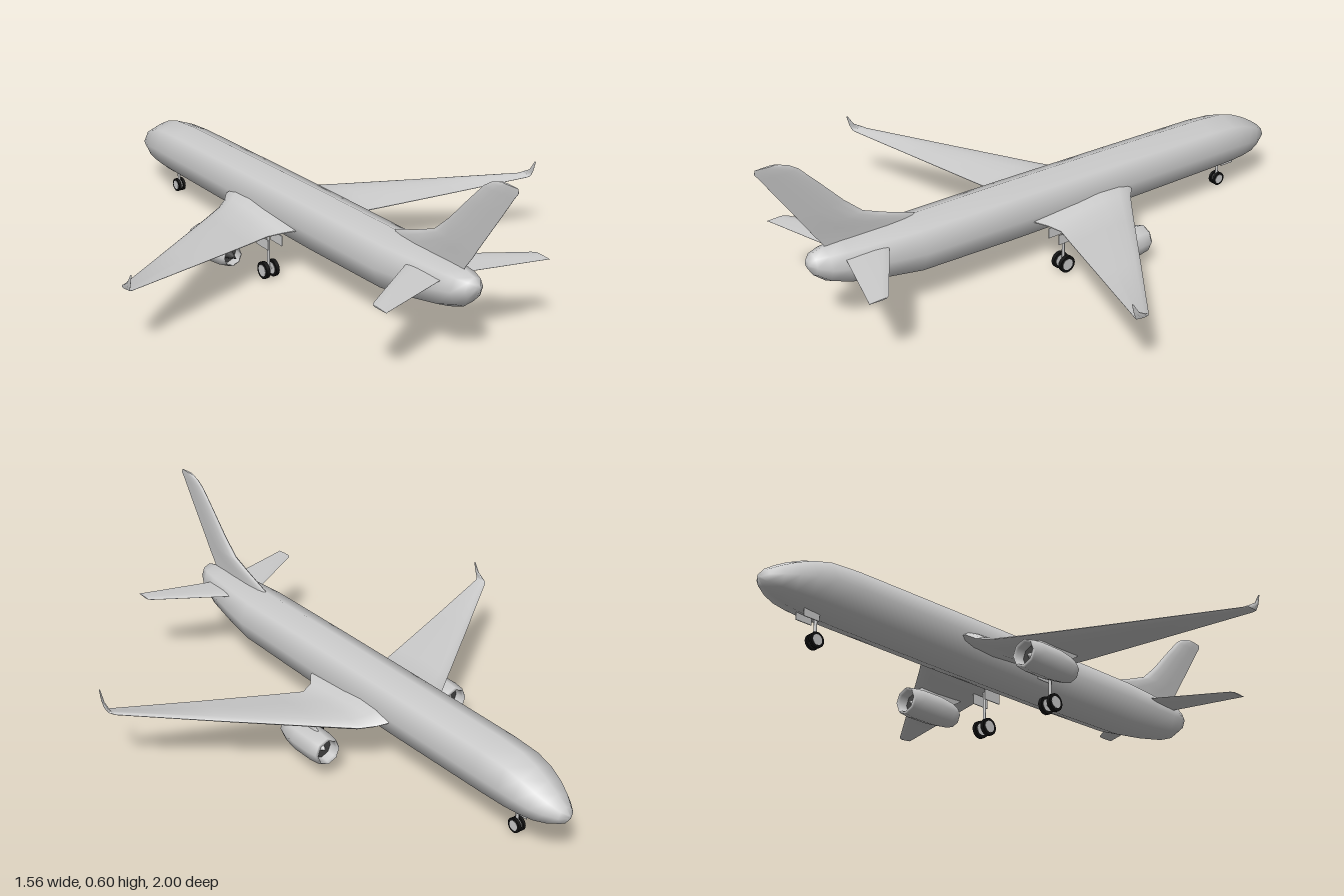
import * as THREE from 'three';
import { toCreasedNormals } from 'three/addons/utils/BufferGeometryUtils.js';

const grey = new THREE.MeshStandardMaterial({ color: 0xcccccc });
const greyThin = new THREE.MeshStandardMaterial({ color: 0xcccccc, side: THREE.DoubleSide });
const dark = new THREE.MeshStandardMaterial({ color: 0x444444 });
const black = new THREE.MeshStandardMaterial({ color: 0x111111 });

function add(parent, name, geometry, material = grey, x = 0, y = 0, z = 0) {
  const mesh = new THREE.Mesh(geometry, material);
  mesh.name = name;
  mesh.position.set(x, y, z);
  parent.add(mesh);
  return mesh;
}

// Skin a list of equal-length rings and cap both ends, faces outwards
function loft(rings, crease = 0.95) {
  const n = rings[0].length;
  const points = rings.flat();
  const tris = [];
  for (let i = 0; i < rings.length - 1; i++) {
    for (let j = 0; j < n; j++) {
      const a = i * n + j, b = i * n + (j + 1) % n;
      tris.push([a, b, b + n], [a, b + n, a + n]);
    }
  }
  [0, rings.length - 1].forEach((r) => {
    const mid = new THREE.Vector3();
    rings[r].forEach((p) => mid.addScaledVector(p, 1 / n));
    points.push(mid);
    const c = points.length - 1;
    for (let j = 0; j < n; j++) {
      const a = r * n + j, b = r * n + (j + 1) % n;
      tris.push(r === 0 ? [c, b, a] : [c, a, b]);
    }
  });
  // A negative volume means the rings run the other way round
  const cross = new THREE.Vector3();
  let volume = 0;
  for (const [a, b, c] of tris) volume += points[a].dot(cross.crossVectors(points[b], points[c]));
  if (volume < 0) tris.forEach((t) => t.reverse());
  const geometry = new THREE.BufferGeometry().setFromPoints(points);
  geometry.setIndex(tris.flat());
  return toCreasedNormals(geometry, crease);
}

// Airfoil section from leading edge to trailing edge; half is the half-thickness vector
const FOIL = [[0, 0], [0.04, 0.5], [0.14, 0.85], [0.35, 1], [0.65, 0.65], [1, 0.08],
  [1, -0.08], [0.65, -0.65], [0.35, -1], [0.14, -0.85], [0.04, -0.5]];
function foil(le, te, half) {
  const a = new THREE.Vector3(...le), b = new THREE.Vector3(...te), h = new THREE.Vector3(...half);
  return FOIL.map(([c, t]) => a.clone().lerp(b, c).addScaledVector(h, t));
}

// Fuselage: eight-sided rings of [z, bottom, top, half width]
function fuselage() {
  const stations = [
    [-1, 0.148, 0.162, 0.008], [-0.985, 0.128, 0.182, 0.03], [-0.95, 0.112, 0.207, 0.055],
    [-0.91, 0.101, 0.231, 0.074], [-0.86, 0.095, 0.255, 0.087], [-0.8, 0.091, 0.273, 0.094],
    [-0.7, 0.09, 0.281, 0.097], [-0.3, 0.09, 0.289, 0.098], [0.15, 0.094, 0.296, 0.098],
    [0.5, 0.104, 0.298, 0.097], [0.62, 0.122, 0.296, 0.083], [0.74, 0.148, 0.292, 0.067],
    [0.8, 0.172, 0.288, 0.054], [0.84, 0.205, 0.279, 0.034], [0.858, 0.235, 0.262, 0.012]];
  return loft(stations.map(([z, lo, hi, w]) => Array.from({ length: 8 }, (_, i) => {
    const a = i * Math.PI / 4;
    return new THREE.Vector3(w * Math.sin(a), (lo + hi) / 2 + (hi - lo) / 2 * Math.cos(a), z);
  })));
}

// Wing stations [x, y, leading z, trailing z, half thickness], flared at the root
function wing(s) {
  const stations = [
    [0.06, 0.178, -0.32, 0.1, 0.026], [0.1, 0.174, -0.308, 0.088, 0.024],
    [0.122, 0.162, -0.285, 0.058, 0.019], [0.165, 0.155, -0.254, 0.04, 0.016],
    [0.26, 0.163, -0.183, 0.072, 0.013], [0.5, 0.186, -0.005, 0.152, 0.009],
    [0.765, 0.213, 0.193, 0.242, 0.004]];
  const rings = stations.map(([x, y, a, b, h]) => foil([s * x, y, a], [s * x, y, b], [0, h, 0]));
  // Upswept winglet
  rings.push(foil([s * 0.775, 0.218, 0.202], [s * 0.775, 0.218, 0.248], [-s * 0.003, 0.003, 0]));
  rings.push(foil([s * 0.777, 0.24, 0.24], [s * 0.777, 0.24, 0.258], [-s * 0.003, 0, 0]));
  rings.push(foil([s * 0.777, 0.274, 0.262], [s * 0.777, 0.274, 0.267], [-s * 0.002, 0, 0]));
  return loft(rings);
}

function tailplane(s) {
  const y = 0.25;
  return loft([[0.02, 0.585, 0.745, 0.006], [0.295, 0.758, 0.825, 0.003], [0.304, 0.768, 0.829, 0.002]]
    .map(([x, a, b, h]) => foil([s * x, y, a], [s * x, y, b], [0, h, 0])));
}

// Fin with a dorsal fillet, stations [y, leading z, trailing z, half thickness]
function fin() {
  return loft([[0.27, 0.45, 0.785, 0.01], [0.298, 0.48, 0.802, 0.01], [0.335, 0.585, 0.829, 0.01],
    [0.365, 0.66, 0.848, 0.01], [0.42, 0.722, 0.885, 0.009], [0.5, 0.797, 0.939, 0.008],
    [0.565, 0.86, 0.982, 0.007], [0.585, 0.89, 0.997, 0.006], [0.598, 0.93, 0.994, 0.004]]
    .map(([y, a, b, h]) => foil([0, y, a], [0, y, b], [h, 0, 0])));
}

function lathe(profile) {
  const points = profile.map(([r, z]) => new THREE.Vector2(r, z));
  return new THREE.LatheGeometry(points, 8).rotateX(Math.PI / 2);
}

function engine(s) {
  const group = new THREE.Group();
  group.name = 'engine';
  add(group, 'nacelle', lathe([[0.034, -0.185], [0.037, -0.215], [0.041, -0.225], [0.046, -0.218],
    [0.051, -0.18], [0.051, -0.1], [0.044, -0.045], [0.034, -0.015], [0.03, -0.015],
    [0.033, -0.05]]), greyThin);
  const fan = new THREE.CylinderGeometry(0.036, 0.036, 0.006, 16).rotateX(Math.PI / 2);
  add(group, 'fan', fan, dark, 0, 0, -0.185);
  add(group, 'spinner', new THREE.ConeGeometry(0.012, 0.022, 10).rotateX(-Math.PI / 2), grey, 0, 0, -0.198);
  const back = new THREE.CylinderGeometry(0.034, 0.034, 0.004, 16).rotateX(Math.PI / 2);
  add(group, 'exhaustPlate', back, dark, 0, 0, -0.05);
  add(group, 'exhaustCone', new THREE.ConeGeometry(0.018, 0.055, 8).rotateX(Math.PI / 2), dark, 0, 0, -0.02);
  // Pylon up to the underside of the wing
  add(group, 'pylon', loft([[0.03, -0.19, -0.04], [0.055, -0.17, 0.005], [0.075, -0.13, 0.03]]
    .map(([y, a, b]) => foil([0, y, a], [0, y, b], [0.006, 0, 0]))));
  group.position.set(s * 0.262, 0.091, 0);
  return group;
}

// Twin-wheel landing gear hanging from height top
function landingGear(name, x, z, radius, gap, width, top) {
  const group = new THREE.Group();
  group.name = name;
  group.position.set(x, radius, z);
  for (const s of [-1, 1]) {
    const tyre = new THREE.CylinderGeometry(radius, radius, width, 18).rotateZ(Math.PI / 2);
    add(group, 'tyre', tyre, black, s * gap);
    const hub = new THREE.CylinderGeometry(radius * 0.68, radius * 0.68, width + 0.002, 14).rotateZ(Math.PI / 2);
    add(group, 'hub', hub, grey, s * gap);
  }
  add(group, 'axle', new THREE.CylinderGeometry(0.004, 0.004, gap * 2, 8).rotateZ(Math.PI / 2));
  const height = top - radius;
  add(group, 'strut', new THREE.CylinderGeometry(0.005, 0.005, height, 8), grey, 0, height / 2, 0);
  return group;
}

export function createModel() {
  const model = new THREE.Group();
  model.name = 'airliner';
  add(model, 'fuselage', fuselage());
  add(model, 'fin', fin());

  for (const s of [-1, 1]) {
    add(model, 'wing', wing(s));
    add(model, 'tailplane', tailplane(s));
    model.add(engine(s));
    model.add(landingGear('mainGear', s * 0.146, 0.016, 0.029, 0.018, 0.013, 0.16));
    // Open gear doors under wing and nose
    for (const x of [0.118, 0.172]) {
      add(model, 'mainGearDoor', new THREE.BoxGeometry(0.003, 0.035, 0.065), grey, s * x, 0.133, 0.022);
    }
    add(model, 'noseGearDoor', new THREE.BoxGeometry(0.003, 0.024, 0.055), grey, s * 0.018, 0.09, -0.825);
  }
  model.add(landingGear('noseGear', 0, -0.796, 0.024, 0.009, 0.009, 0.11));
  return model;
}
